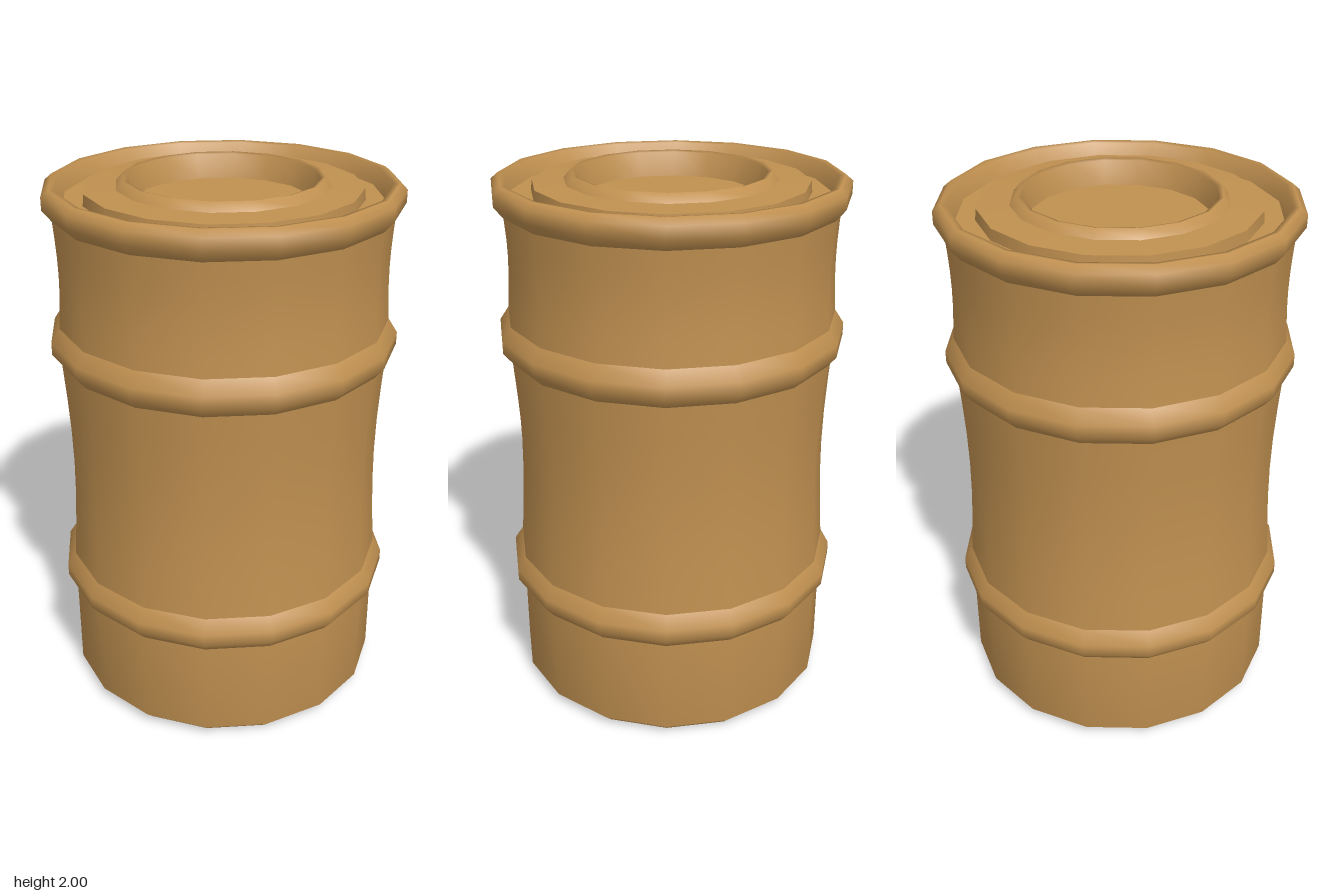
import * as THREE from 'three';

const SIDES = 16;

export function createModel() {
  const model = new THREE.Group();
  const paint = new THREE.MeshStandardMaterial({ color: 0xc09050 });

  // Revolve a profile of [radius, height] pairs; separate profiles meet in a sharp edge
  function turned(name, profile) {
    const points = profile.map(([r, y]) => new THREE.Vector2(r, y));
    const mesh = new THREE.Mesh(new THREE.LatheGeometry(points, SIDES), paint);
    mesh.name = name;
    model.add(mesh);
  }

  // Wall section pinched inward between two hoops
  function waist(name, y0, y1, pinch) {
    const profile = [];
    for (let i = 0; i <= 6; i++) {
      const t = i / 6;
      profile.push([0.605 - pinch * Math.sin(Math.PI * t), y0 + (y1 - y0) * t]);
    }
    turned(name, profile);
  }

  // Base and lower wall
  turned('base', [[0, 0], [0.565, 0]]);
  turned('lowerWall', [[0.565, 0], [0.605, 0.04], [0.605, 0.41]]);

  // Rolling hoops
  [['lowerHoop', 0.41], ['upperHoop', 1.355]].forEach(([name, y]) =>
    turned(name, [[0.605, y], [0.638, y + 0.04], [0.638, y + 0.085], [0.605, y + 0.135]]));

  // Pinched walls
  waist('middleWall', 0.545, 1.355, 0.02);
  waist('upperWall', 1.49, 1.88, 0.01);

  // Top rim, rolled over to the inside
  turned('topRim', [[0.605, 1.88], [0.638, 1.92], [0.638, 1.965], [0.612, 1.987], [0.59, 1.983], [0.567, 1.925]]);

  // Lid: groove, raised step, inner ring and sunken centre
  turned('lidGroove', [[0.567, 1.925], [0.497, 1.925]]);
  turned('lidEdge', [[0.497, 1.925], [0.493, 1.965]]);
  turned('lidPlate', [[0.493, 1.965], [0.38, 1.97]]);
  turned('lidRing', [[0.38, 1.97], [0.355, 2], [0.338, 1.995], [0.316, 1.91]]);
  turned('lidCentre', [[0.316, 1.91], [0, 1.91]]);

  return model;
}
